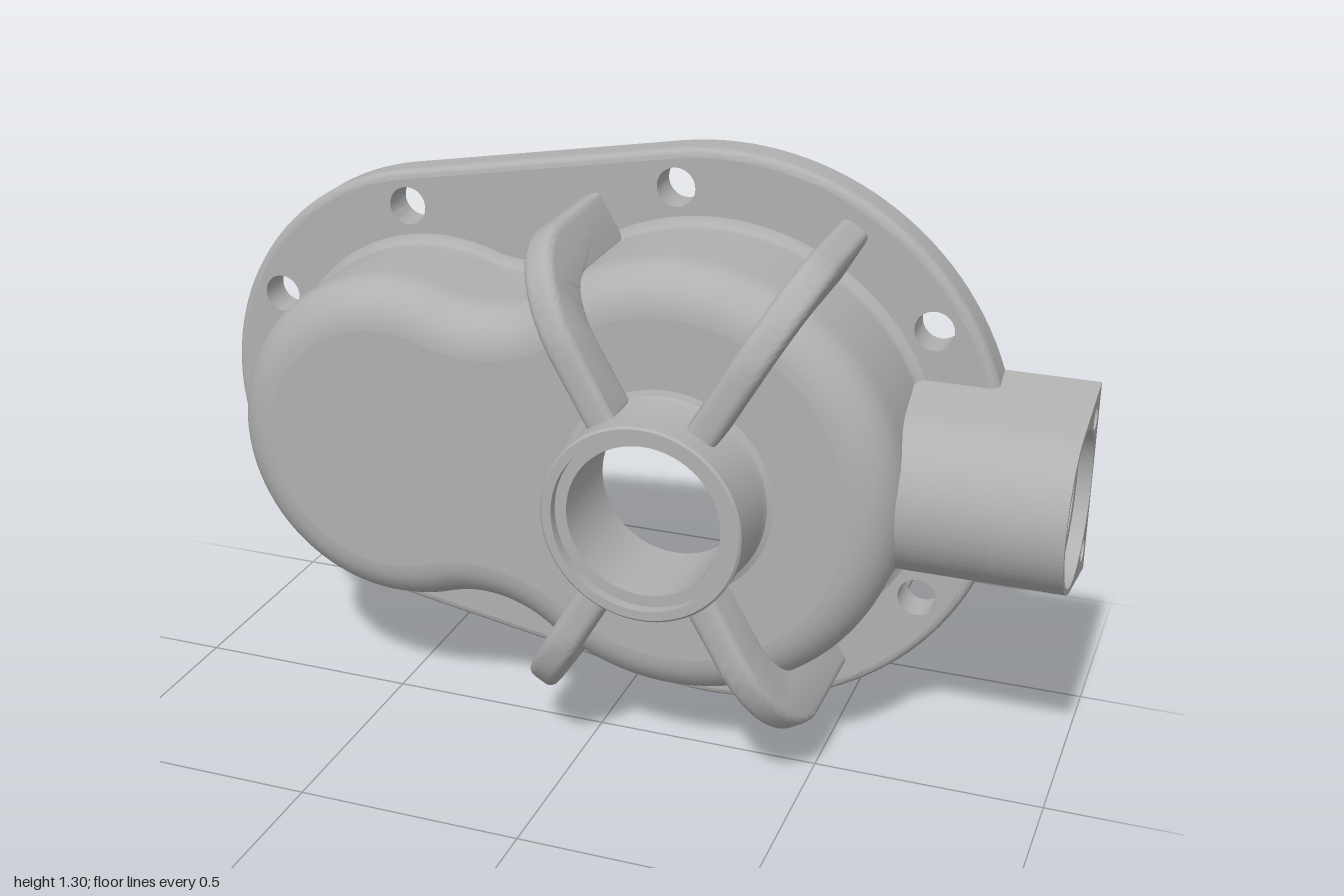
import * as THREE from 'three';
import { toCreasedNormals } from 'three/addons/utils/BufferGeometryUtils.js';

const CY = 0.65;                    // height of the centre line
const BX = 0.185, AX = -0.462;      // centres of the large and small lobes
const PIPE_Z = -0.11, BORE = 0.135; // side port axis and bore
const WALL = 0.07;

const arc = (pts, cx, cy, r, a0, a1, n) => {
  for (let i = 0; i <= n; i++) {
    const a = a0 + ((a1 - a0) * i) / n;
    pts.push(new THREE.Vector2(cx + r * Math.cos(a), cy + r * Math.sin(a)));
  }
};

// Two-lobed housing outline with blended waist, inset by d
function bodyOutline(d) {
  const rA = 0.375, rB = 0.485, rF = 0.25, gap = BX - AX;
  const dA = rA + rF, dB = rB + rF;
  const fx = (gap * gap + dA * dA - dB * dB) / (2 * gap);
  const fy = Math.sqrt(dA * dA - fx * fx);
  const tA = Math.atan2(fy, fx), tB = Math.atan2(fy, fx - gap), P = Math.PI;
  const pts = [];
  arc(pts, BX, CY, rB - d, -tB, tB, 110);
  arc(pts, AX + fx, CY + fy, rF + d, tB - P, tA - P, 18);
  arc(pts, AX, CY, rA - d, tA, 2 * P - tA, 60);
  arc(pts, AX + fx, CY - fy, rF + d, P - tA, P - tB, 18);
  return pts;
}

// Tapered oval flange outline, inset by d
function flangeOutline(d) {
  const rA = 0.54, rB = 0.65, t = Math.acos((rA - rB) / (BX - AX));
  const pts = [];
  arc(pts, BX, CY, rB - d, -t, t, 72);
  arc(pts, AX, CY, rA - d, t, 2 * Math.PI - t, 56);
  return pts;
}

// Skin through outlines at [inset, z] stations; cut opens the wall for the port
function loft(outline, stations, { cut = 0, snap = false, inward = false } = {}) {
  const pos = [], idx = [];
  let n = 0;
  for (const [d, z] of stations) {
    const ring = outline(d);
    n = ring.length;
    for (const p of ring) {
      let y = p.y - CY, w = z - PIPE_Z;
      const rho = Math.hypot(y, w);
      if (snap && p.x > 0.4 && Math.abs(rho - cut) < 0.011) {
        y *= cut / rho;
        w *= cut / rho;
      }
      pos.push(p.x, y + CY, w + PIPE_Z);
    }
  }
  const tri = (a, b, c) => {
    const mean = (k) => (pos[a * 3 + k] + pos[b * 3 + k] + pos[c * 3 + k]) / 3;
    if (mean(0) > 0.4 && Math.hypot(mean(1) - CY, mean(2) - PIPE_Z) < cut) return;
    idx.push(...(inward ? [a, c, b] : [a, b, c]));
  };
  for (let j = 0; j < stations.length - 1; j++) {
    for (let i = 0; i < n; i++) {
      const a = j * n + i, b = j * n + ((i + 1) % n);
      tri(a, b, b + n);
      tri(a, b + n, a + n);
    }
  }
  const g = new THREE.BufferGeometry();
  g.setAttribute('position', new THREE.Float32BufferAttribute(pos, 3));
  g.setIndex(idx);
  return g;
}

// Straight wall stations followed by a quarter-round edge
function wallStations(d, z0, z1, r) {
  const out = [], steps = 16;
  for (let i = 0; i < steps; i++) out.push([d, z0 + ((z1 - r - z0) * i) / steps]);
  for (let i = 0; i <= 8; i++) {
    const a = (i / 8) * Math.PI / 2;
    out.push([d + r * (1 - Math.cos(a)), z1 - r + r * Math.sin(a)]);
  }
  return out;
}

const circlePath = (x, y, r) => new THREE.Path().absarc(x, y, r, 0, Math.PI * 2, true);

function cap(outline, holes, z, back = false) {
  const s = new THREE.Shape(outline);
  s.holes.push(...holes);
  const g = new THREE.ShapeGeometry(s, 32);
  if (back) {
    const ix = g.index.array;
    for (let i = 0; i < ix.length; i += 3) [ix[i], ix[i + 1]] = [ix[i + 1], ix[i]];
  }
  return g.translate(0, 0, z);
}

export function createModel() {
  const model = new THREE.Group();
  model.name = 'gearHousing';
  const metal = new THREE.MeshStandardMaterial({ color: 0xb0b0b0, side: THREE.DoubleSide });
  metal.name = 'castGrey';
  const add = (name, geo, crease = 0.6) => {
    const m = new THREE.Mesh(toCreasedNormals(geo, crease), metal);
    m.name = name;
    model.add(m);
    return m;
  };

  // Flange with eight bolt holes
  const bolts = [];
  for (const [x, y] of [[-0.54, 0.453], [-0.87, 0.207], [0.09, 0.56], [0.66, 0.31]])
    for (const s of [1, -1]) bolts.push([x, CY + s * y]);
  const boltPaths = () => bolts.map(([x, y]) => circlePath(x, y, 0.043));
  add('flangeEdge', loft(flangeOutline, wallStations(0, -0.285, -0.205, 0.02)));
  add('flangeFront', cap(flangeOutline(0.02), [...boltPaths(), new THREE.Path(bodyOutline(0.03))], -0.205));
  add('flangeBack', cap(flangeOutline(0), [...boltPaths(), new THREE.Path(bodyOutline(WALL))], -0.285, true));
  for (const [x, y] of bolts)
    add('boltHole', new THREE.CylinderGeometry(0.043, 0.043, 0.08, 32, 1, true)
      .rotateX(Math.PI / 2).translate(x, y, -0.245));

  // Housing shell, outside and inside
  const outer = [[-0.02, -0.205], [-0.009, -0.2], [-0.002, -0.192], ...wallStations(0, -0.182, 0.12, 0.1)];
  add('housingWall', loft(bodyOutline, outer, { cut: 0.155 }));
  add('housingFace', cap(bodyOutline(0.1), [circlePath(BX, CY, 0.19)], 0.12));
  add('cavityWall', loft(bodyOutline, wallStations(WALL, -0.285, 0.05, 0.05), { cut: BORE, snap: true, inward: true }));
  add('cavityFloor', cap(bodyOutline(WALL + 0.05), [circlePath(BX, CY, 0.165)], 0.05, true));

  // Front bearing hub
  const hub = [[0.235, 0.119], [0.221, 0.125], [0.215, 0.14], [0.215, 0.28], [0.21, 0.285], [0.19, 0.285],
    [0.19, 0.262], [0.165, 0.262], [0.165, 0.05]].map(([r, z]) => new THREE.Vector2(r, z)).reverse();
  add('bearingHub', new THREE.LatheGeometry(hub, 64).rotateX(Math.PI / 2).translate(BX, CY, 0));

  // Four bent ribs from hub to flange
  const rib = new THREE.Shape();
  rib.moveTo(0.2, 0.115);
  rib.lineTo(0.36, 0.115);
  rib.absellipse(0.36, 0.02, 0.108, 0.095, Math.PI / 2, 0, true);
  rib.lineTo(0.468, -0.215);
  rib.lineTo(0.6, -0.215);
  rib.lineTo(0.6, 0.02);
  rib.absellipse(0.36, 0.02, 0.24, 0.21, 0, Math.PI / 2, false);
  rib.lineTo(0.2, 0.23);
  rib.closePath();
  for (const deg of [60, 120, 240, 300]) {
    const g = new THREE.ExtrudeGeometry(rib, {
      depth: 0.03, curveSegments: 14, bevelSize: 0.02, bevelOffset: -0.02, bevelThickness: 0.02, bevelSegments: 4,
    });
    g.translate(0, 0, -0.015).rotateX(Math.PI / 2).rotateZ(THREE.MathUtils.degToRad(deg)).translate(BX, CY, 0);
    add('rib', g, 0.7);
  }

  // Side port: round top flaring to a flat back, with counterbore and screw holes
  const port = (x0, x1, bore, screws) => {
    const s = new THREE.Shape();
    s.moveTo(0.285, CY - 0.215);
    s.lineTo(0.285, CY + 0.215);
    s.absarc(-PIPE_Z, CY, 0.178, 1.761, Math.PI * 2 - 1.761, false);
    s.closePath();
    s.holes.push(circlePath(-PIPE_Z, CY, bore));
    if (screws) for (const k of [1, -1]) s.holes.push(circlePath(0.24, CY + k * 0.152, 0.026));
    const g = new THREE.ExtrudeGeometry(s, { depth: x1 - x0, curveSegments: 40, bevelEnabled: false });
    add('sidePort', g.rotateY(Math.PI / 2).translate(x0, 0, 0));
  };
  port(0.61, 0.85, BORE, false);
  port(0.85, 0.97, BORE, true);
  port(0.97, 1, 0.165, true);

  // Bore through the wall, trimmed to the curved cavity
  const bore = new THREE.CylinderGeometry(BORE, BORE, 0.04, 48, 1, true)
    .rotateZ(Math.PI / 2).translate(0.59, CY, PIPE_Z);
  const p = bore.attributes.position;
  for (let i = 0; i < p.count; i++)
    if (p.getX(i) < 0.59) p.setX(i, BX + Math.sqrt((0.485 - WALL) ** 2 - (p.getY(i) - CY) ** 2));
  add('portBore', bore);

  return model;
}
